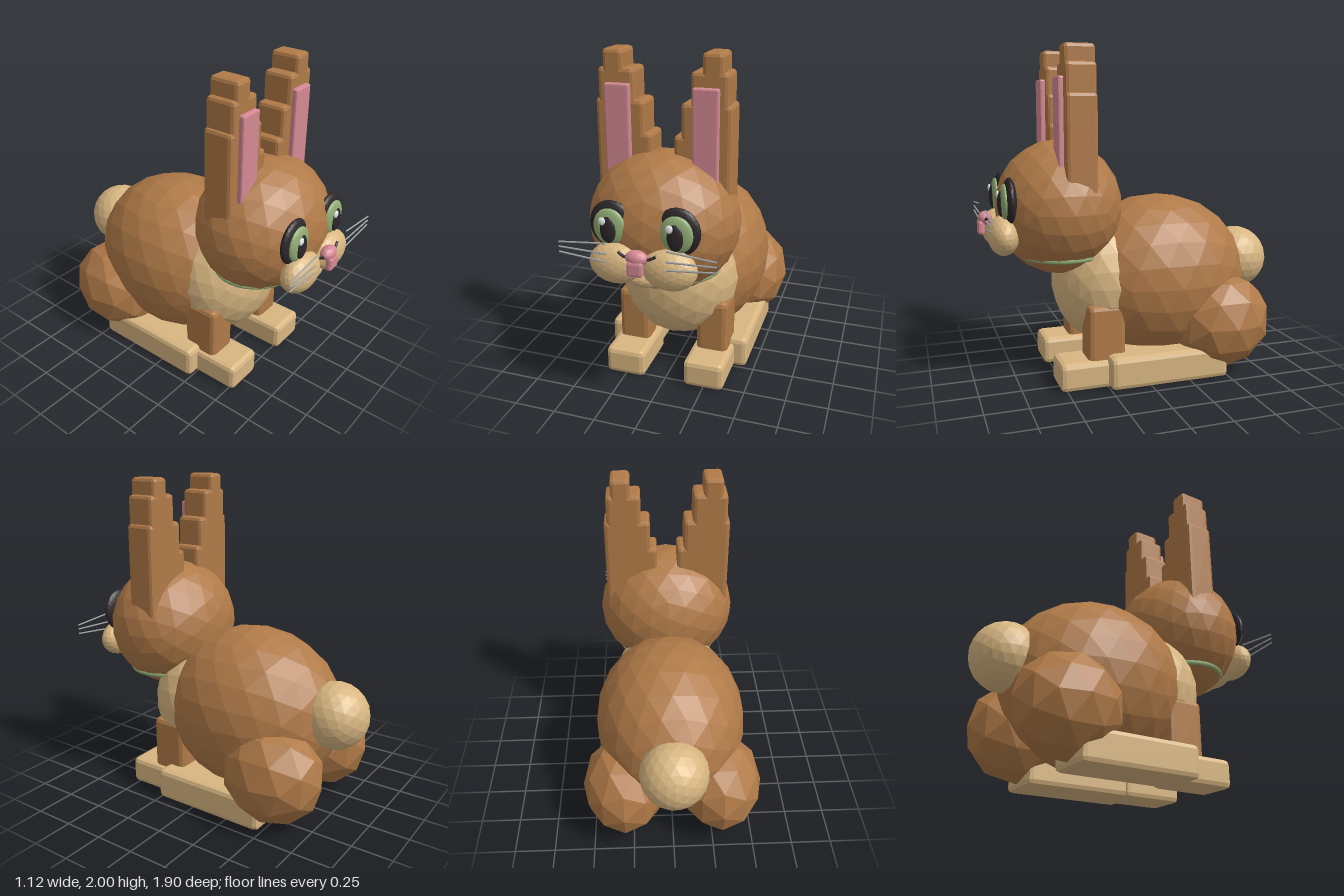
import * as THREE from 'three';
import { RoundedBoxGeometry } from 'three/addons/geometries/RoundedBoxGeometry.js';

const paint = (name, color) => {
  const m = new THREE.MeshStandardMaterial({ color });
  m.name = name;
  return m;
};

export function createModel() {
  const fur = paint('brown fur', 0xb07a48);
  const cream = paint('cream fur', 0xd8b681);
  const pink = paint('pink', 0xd48993);
  const black = paint('black', 0x2c2628);
  const green = paint('green', 0x91ac74);
  const white = paint('white', 0xe6e6e6);
  const grey = paint('whisker grey', 0xa3a6a8);

  const model = new THREE.Group();
  model.name = 'rabbit';

  const add = (name, geo, mat, parent = model) => {
    const mesh = new THREE.Mesh(geo, mat);
    mesh.name = name;
    parent.add(mesh);
    return mesh;
  };
  // every surface gets one normal per facet
  const facet = (geo) => {
    const g = geo.index ? geo.toNonIndexed() : geo;
    g.computeVertexNormals();
    return g;
  };
  // faceted ellipsoid from centre and radii
  const ball = (name, mat, [x, y, z], [rx, ry, rz], detail = 3, parent = model) => {
    const g = new THREE.IcosahedronGeometry(1, detail).scale(rx, ry, rz);
    add(name, facet(g), mat, parent).position.set(x, y, z);
  };
  // bevelled box from its two corners
  const box = (name, mat, a, b, bevel, parent = model) => {
    const s = a.map((v, i) => b[i] - v);
    const g = facet(new RoundedBoxGeometry(s[0], s[1], s[2], 1, bevel));
    add(name, g, mat, parent).position.set(...a.map((v, i) => (v + b[i]) / 2));
  };
  // thin rod through points
  const rod = (name, mat, points, radius, parent = model) => {
    const curve = new THREE.CatmullRomCurve3(points.map((p) => new THREE.Vector3(...p)));
    add(name, new THREE.TubeGeometry(curve, 4, radius, 6), mat, parent);
  };
  // box spanning x0..x1 on either side of the body
  const sideBox = (name, mat, s, [x0, x1], [y0, y1], [z0, z1], bevel, parent) =>
    box(name, mat, [Math.min(s * x0, s * x1), y0, z0], [Math.max(s * x0, s * x1), y1, z1], bevel, parent);

  // trunk and head
  ball('body', fur, [0, 0.585, -0.18], [0.475, 0.52, 0.58]);
  ball('chest', cream, [0, 0.59, 0.18], [0.37, 0.4, 0.325]);
  ball('head', fur, [0, 1.05, 0.46], [0.44, 0.41, 0.385]);
  ball('tail', cream, [0, 0.655, -0.745], [0.205, 0.205, 0.205]);

  // collar, mostly tucked under the head
  const collar = new THREE.TorusGeometry(0.315, 0.015, 6, 32).rotateX(Math.PI / 2).scale(1, 1, 0.83);
  add('collar', collar, green).position.set(0, 0.77, 0.455);

  // stepped ear layers: inner x, outer x, top y
  const earSteps = [
    [0.063, 0.388, 1.55],
    [0.105, 0.388, 1.73],
    [0.16, 0.37, 1.9],
    [0.222, 0.34, 2.0],
  ];

  for (const s of [1, -1]) {
    const side = s > 0 ? 'left' : 'right';
    const group = (name) => {
      const g = new THREE.Group();
      g.name = side + name;
      model.add(g);
      return g;
    };

    // legs
    const hind = group('HindLeg');
    ball('haunch', fur, [s * 0.3, 0.33, -0.5], [0.26, 0.3, 0.32], 1, hind);
    sideBox('hindFoot', cream, s, [0.145, 0.453], [0.005, 0.2], [-0.49, 0.255], 0.03, hind);
    const front = group('FrontLeg');
    sideBox('frontLeg', fur, s, [0.155, 0.35], [0.08, 0.495], [0.135, 0.365], 0.03, front);
    sideBox('frontFoot', cream, s, [0.125, 0.375], [0, 0.17], [0.15, 0.54], 0.03, front);

    // ear
    const ear = group('Ear');
    for (const [x0, x1, top] of earSteps)
      sideBox('earStep', fur, s, [x0, x1], [1.15, top], [0.31, 0.495], 0.022, ear);
    sideBox('innerEar', pink, s, [0.178, 0.323], [1.28, 1.82], [0.48, 0.525], 0.01, ear);

    // eye
    const eye = group('Eye');
    ball('eyeRim', black, [s * 0.187, 1.12, 0.785], [0.125, 0.135, 0.038], 4, eye);
    ball('iris', green, [s * 0.187, 1.115, 0.815], [0.092, 0.104, 0.028], 4, eye);
    ball('pupil', black, [s * 0.187, 1.105, 0.835], [0.046, 0.075, 0.02], 3, eye);
    ball('eyeGlint', white, [s * 0.187 - 0.028, 1.155, 0.848], [0.021, 0.023, 0.01], 2, eye);

    // muzzle, mouth corner and whiskers
    const cheek = group('Cheek');
    ball('muzzle', cream, [s * 0.15, 0.915, 0.82], [0.155, 0.118, 0.09], 3, cheek);
    rod('mouthCorner', black, [[s * 0.03, 0.995, 0.905], [s * 0.07, 1.0, 0.908], [s * 0.105, 1.018, 0.9]], 0.008, cheek);
    for (const [yIn, yOut] of [[1.065, 1.042], [1.005, 1.015], [0.958, 0.985]])
      rod('whisker', grey, [[s * 0.165, yIn, 0.918], [s * 0.435, yOut, 0.922]], 0.005, cheek);
  }

  // chin and nose
  ball('chin', cream, [0, 0.835, 0.79], [0.12, 0.055, 0.07], 2);
  ball('nose', pink, [0, 1.0, 0.905], [0.062, 0.042, 0.042], 2);
  box('noseTip', pink, [-0.045, 0.905, 0.91], [0.045, 0.99, 0.95], 0.015);

  return model;
}
